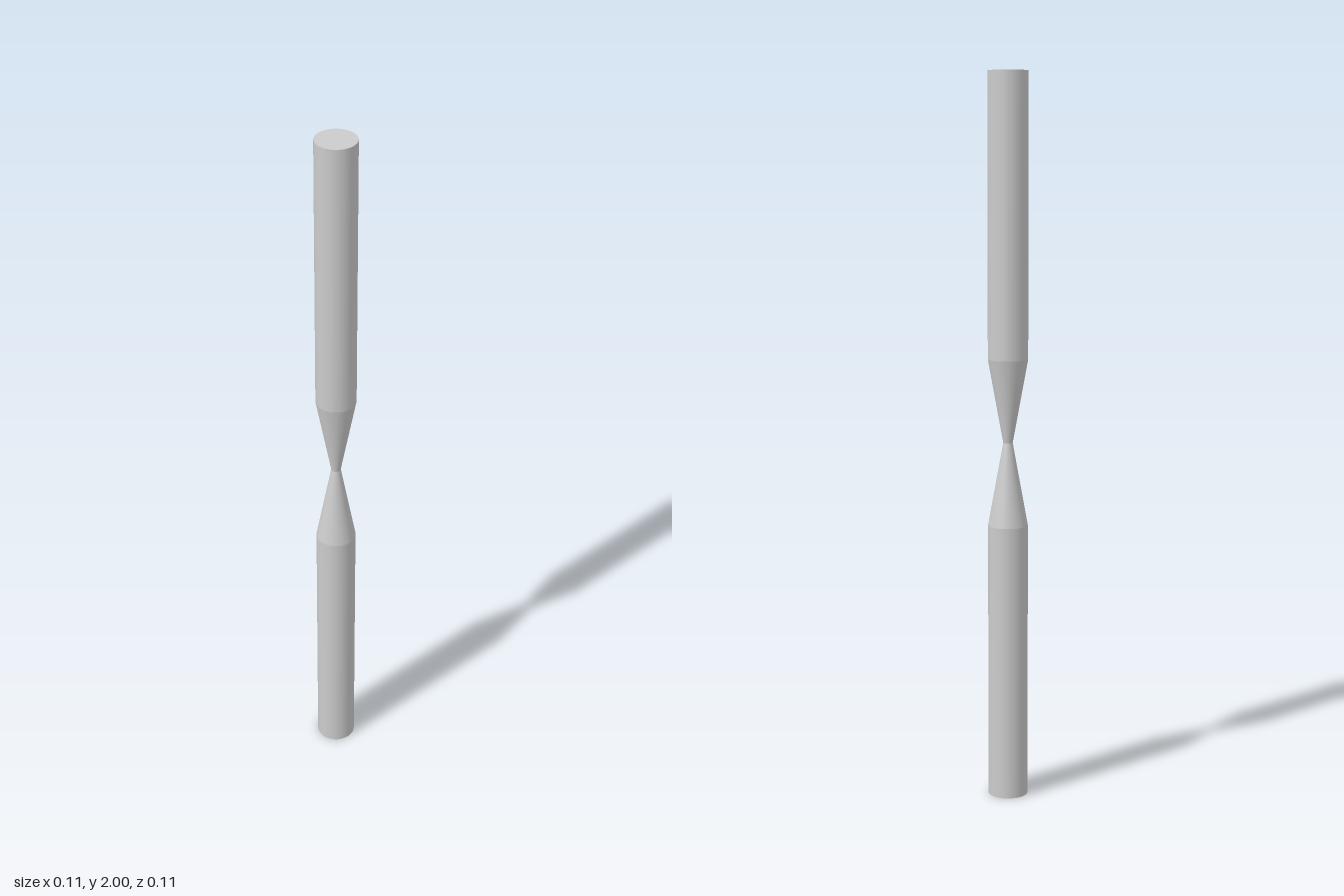
import * as THREE from 'three';

const RADIUS = 0.055, NECK = 0.013, TAPER = 0.23, MIDDLE = 1, SIDES = 32;

export function createModel() {
  const model = new THREE.Group();
  model.name = 'neckedRod';
  const material = new THREE.MeshStandardMaterial({ color: 0xcccccc });

  // One smooth section of revolution between two heights
  function section(name, y0, y1, r0, r1, parent) {
    const geometry = new THREE.CylinderGeometry(r1, r0, y1 - y0, SIDES, 1, true);
    const mesh = new THREE.Mesh(geometry, material);
    mesh.name = name;
    mesh.position.y = (y0 + y1) / 2;
    parent.add(mesh);
  }

  // Flat disc closing an outer end
  function endCap(name, y, facing, parent) {
    const mesh = new THREE.Mesh(new THREE.CircleGeometry(RADIUS, SIDES), material);
    mesh.name = name;
    mesh.rotation.set(-facing * Math.PI / 2, 0, Math.PI / 2);
    mesh.position.y = y;
    parent.add(mesh);
  }

  // Lower half: straight rod tapering up to the neck
  const lower = new THREE.Group();
  lower.name = 'lowerHalf';
  section('lowerRod', 0, MIDDLE - TAPER, RADIUS, RADIUS, lower);
  section('lowerTaper', MIDDLE - TAPER, MIDDLE, RADIUS, NECK, lower);
  endCap('bottomCap', 0, -1, lower);

  // Upper half: mirror of the lower one about the neck
  const upper = new THREE.Group();
  upper.name = 'upperHalf';
  section('upperTaper', MIDDLE, MIDDLE + TAPER, NECK, RADIUS, upper);
  section('upperRod', MIDDLE + TAPER, 2, RADIUS, RADIUS, upper);
  endCap('topCap', 2, 1, upper);

  model.add(lower, upper);
  return model;
}
